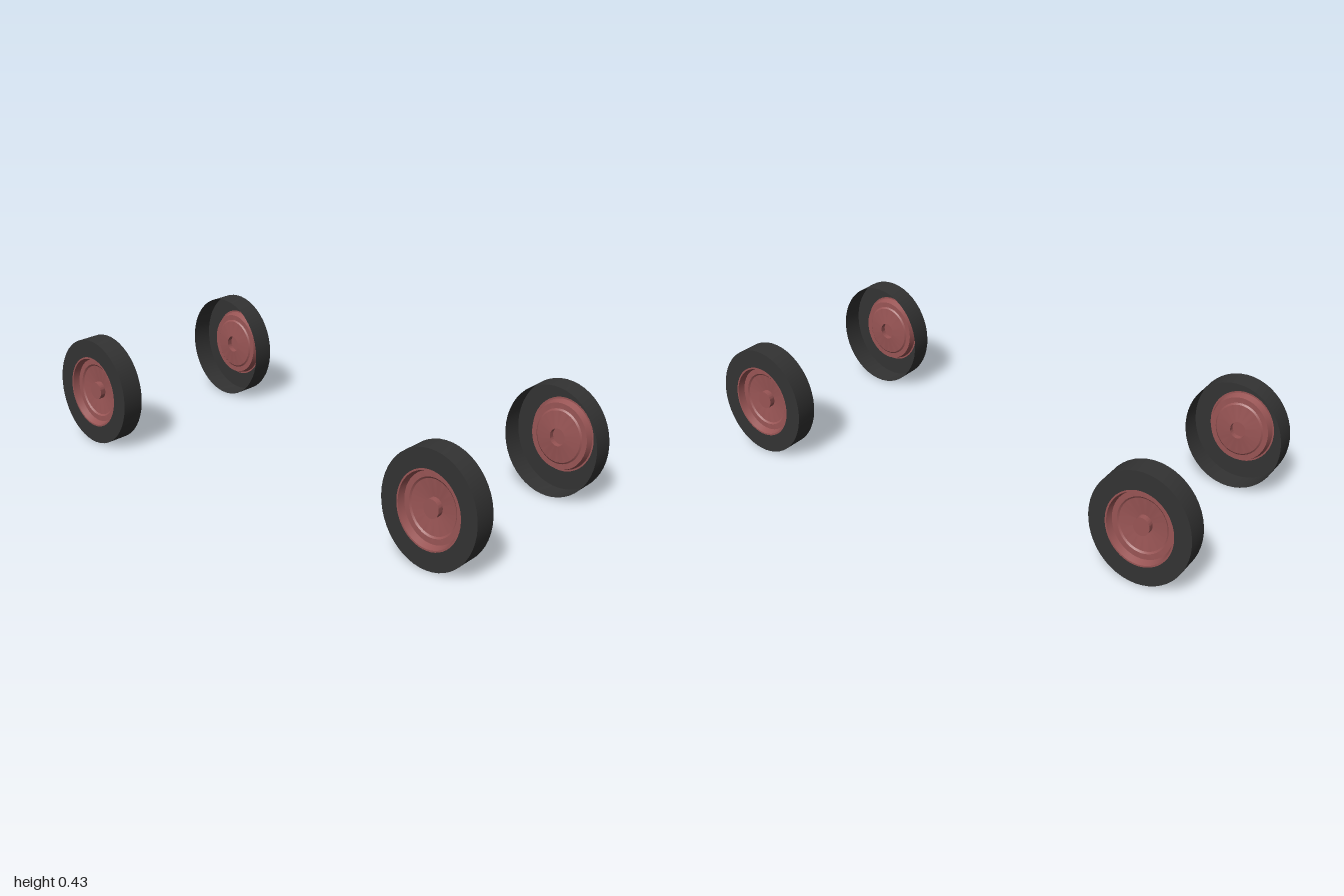
import * as THREE from 'three';
import { toCreasedNormals } from 'three/addons/utils/BufferGeometryUtils.js';

const RY = 0.213, RZ = 0.187;   // wheel half height and half length
const WIDTH = 0.088, OUTER_X = 0.413, AXLE_Z = 0.813;

const material = (color) => new THREE.MeshStandardMaterial({ color, side: THREE.DoubleSide });

// Revolve [radius fraction, depth behind the outer face] about the x axis
function revolve(profile) {
  const points = profile.map(([r, depth]) => new THREE.Vector2(r, -depth));
  const geometry = new THREE.LatheGeometry(points, 48);
  geometry.rotateZ(-Math.PI / 2);
  geometry.scale(1, RY, RZ);
  return toCreasedNormals(geometry, 0.35);
}

export function createModel() {
  const group = new THREE.Group();

  // Tyre: tread open towards the inside, flat outer wall
  const tyreGeometry = revolve([[1, WIDTH], [1, 0], [0.67, 0]]);
  // Rim: lip, recessed ring, dish sloping to a raised hub cap
  const rimGeometry = revolve([
    [0.67, 0], [0.64, 0], [0.6, 0.025], [0.5, 0.025], [0.47, 0.03],
    [0.16, 0.038], [0.16, 0.016], [0, 0.016],
  ]);
  const rubber = material(0x333333);
  const paint = material(0x995555);

  for (const [end, sz] of [['front', 1], ['rear', -1]]) {
    for (const [side, sx] of [['Left', 1], ['Right', -1]]) {
      const wheel = new THREE.Group();
      wheel.name = `${end}${side}Wheel`;
      const tyre = new THREE.Mesh(tyreGeometry, rubber);
      tyre.name = 'tyre';
      const rim = new THREE.Mesh(rimGeometry, paint);
      rim.name = 'rim';
      wheel.add(tyre, rim);
      wheel.position.set(sx * OUTER_X, RY, sz * AXLE_Z);
      if (sx < 0) wheel.rotation.y = Math.PI;
      group.add(wheel);
    }
  }
  return group;
}
